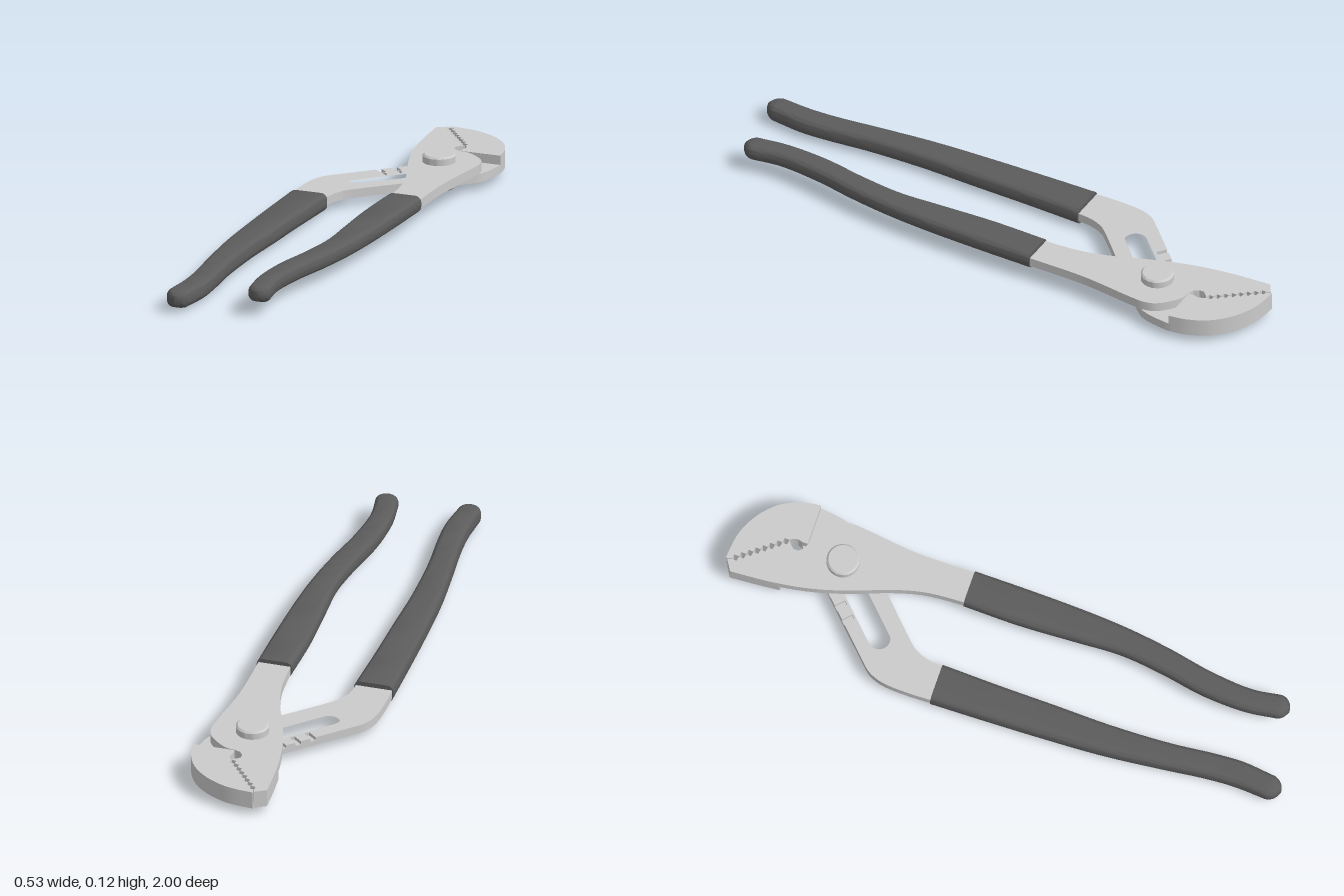
import * as THREE from 'three';
import { toCreasedNormals } from 'three/addons/utils/BufferGeometryUtils.js';

const metal = new THREE.MeshStandardMaterial({ color: 0xcccccc });
const rubber = new THREE.MeshStandardMaterial({ color: 0x5c5c5c });

// All outlines are [x, z] points seen from above.
const toVec = ([x, z]) => new THREE.Vector2(x, -z);
const smooth = (pts, n = 20) =>
  new THREE.SplineCurve(pts.map(p => new THREE.Vector2(...p))).getPoints(n).map(v => [v.x, v.y]);

function mesh(name, geometry, material) {
  const m = new THREE.Mesh(geometry, material);
  m.name = name;
  return m;
}

// Flat plate between two heights
function plate(name, outline, y0, y1, hole) {
  const shape = new THREE.Shape(outline.map(toVec));
  if (hole) shape.holes.push(new THREE.Path(hole.map(toVec)));
  const geo = new THREE.ExtrudeGeometry(shape, { depth: y1 - y0, bevelEnabled: false });
  geo.rotateX(-Math.PI / 2).translate(0, y0, 0);
  return mesh(name, toCreasedNormals(geo, 0.5), metal);
}

// Zigzag biting edge from the throat to the tip; side is +1 (right jaw) or -1 (left jaw)
function teeth(side) {
  const a = [0.113, -0.818], b = [-0.010, -0.978], count = 8, pts = [];
  for (let i = 0; i <= count * 2; i++) {
    const t = i / (count * 2), off = side * (i % 2 ? 0.012 : 0.001);
    pts.push([a[0] + (b[0] - a[0]) * t + off * 0.79, a[1] + (b[1] - a[1]) * t - off * 0.61]);
  }
  return pts;
}

// Handle sleeve lofted through [z, xMin, xMax] stations, with a rounded end
function grip(name, stations, zEnd, yMid, halfH) {
  const mid = new THREE.CatmullRomCurve3(stations.map(([z, a, b]) =>
    new THREE.Vector3((a + b) / 2, (b - a) / 2, z)));
  const rings = mid.getPoints(36).map(p => ({ x: p.x, w: p.y, z: p.z, h: halfH }));
  const last = rings[rings.length - 1], reach = zEnd - last.z;
  for (let i = 1; i <= 8; i++) {
    const t = i / 8 * 1.5, c = Math.cos(t);
    rings.push({ x: last.x, w: last.w * c, z: last.z + reach * Math.sin(t), h: halfH - 0.02 * (1 - c) });
  }
  const pos = [], idx = [], per = 24;
  for (const r of rings) {
    const rad = Math.min(0.022, r.w);
    for (let k = 0; k < per; k++) {
      const q = Math.floor(k / 6), ang = (q + (k % 6) / 5) * Math.PI / 2;
      const sx = q === 0 || q === 3 ? 1 : -1, sy = q < 2 ? 1 : -1;
      pos.push(r.x + sx * (r.w - rad) + rad * Math.cos(ang),
        yMid + sy * (r.h - 0.022) + 0.022 * Math.sin(ang), r.z);
    }
  }
  const n = rings.length, c0 = n * per, c1 = c0 + 1, e = rings[n - 1];
  pos.push(rings[0].x, yMid, rings[0].z, e.x, yMid, zEnd);
  for (let k = 0; k < per; k++) {
    const k2 = (k + 1) % per;
    for (let i = 0; i < n - 1; i++) {
      const a = i * per + k, b = i * per + k2;
      idx.push(a, b, b + per, a, b + per, a + per);
    }
    idx.push(c0, k2, k, c1, (n - 1) * per + k, (n - 1) * per + k2);
  }
  const geo = new THREE.BufferGeometry();
  geo.setAttribute('position', new THREE.Float32BufferAttribute(pos, 3));
  geo.setIndex(idx);
  return mesh(name, toCreasedNormals(geo, 0.8), rubber);
}

export function createModel() {
  const model = new THREE.Group();
  model.name = 'slipJointPliers';
  const yLow = 0.028, yMid = 0.058, yTop = 0.09;

  // Shared directions of the slotted neck
  const d = [0.72, -0.69], nrm = [0.69, 0.72];
  const pivot = [0.097, -0.625];

  // Adjustment slot
  const slot = [];
  const ends = [[-0.11, -0.43], [0.118, -0.648]];
  ends.forEach((c, e) => {
    for (let i = 0; i <= 12; i++) {
      const t = Math.PI * (i / 12 + e);
      slot.push([0, 1].map(j => c[j] + 0.038 * (nrm[j] * Math.cos(t) - d[j] * Math.sin(t))));
    }
  });

  // Outer edge of the neck, optionally cut by locking grooves
  const neckEdge = grooved => {
    const start = [-0.19, -0.468], pts = [start];
    const at = (s, dep) => [0, 1].map(j => start[j] + d[j] * s + nrm[j] * dep);
    if (grooved) for (const s of [0.135, 0.19, 0.245, 0.30])
      pts.push(at(s - 0.010, 0), at(s - 0.006, 0.038), at(s + 0.012, 0.038), at(s + 0.010, 0));
    pts.push(at(0.36, 0));
    return pts;
  };

  const rightJawArc = smooth([[-0.012, -0.998], [0.08, -0.986], [0.16, -0.948], [0.22, -0.89],
    [0.252, -0.82], [0.262, -0.757]]);
  const throat = [[0.108, -0.768], [0.12, -0.775], [0.125, -0.79], [0.122, -0.806]];

  const lowerOutline = grooved => [
    ...rightJawArc,
    ...smooth([[0.262, -0.75], [0.252, -0.685], [0.235, -0.64], [0.2, -0.6]], 10),
    ...smooth([[0.05, -0.455], [-0.08, -0.333], [-0.115, -0.29], [-0.133, -0.235], [-0.137, -0.16]], 14),
    ...smooth([[-0.26, -0.16], [-0.262, -0.26], [-0.256, -0.36], [-0.235, -0.42], [-0.2, -0.458]], 14),
    ...neckEdge(grooved),
    ...throat, ...teeth(1)
  ];

  // Lower arm: slotted neck in two layers, plus the raised half of its jaw
  const lower = new THREE.Group();
  lower.name = 'lowerArm';
  lower.add(
    plate('slottedArm', lowerOutline(false), yLow, 0.046, slot),
    plate('groovedArmFace', lowerOutline(true), 0.046, yMid, slot),
    plate('rightJaw', [...rightJawArc, [0.12, -0.757], ...throat.slice(1), ...teeth(1)], yMid, yTop),
    grip('leftGrip', [[-0.2, -0.265, -0.13], [0, -0.265, -0.14], [0.2, -0.263, -0.147],
      [0.4, -0.257, -0.155], [0.6, -0.24, -0.152], [0.75, -0.225, -0.14],
      [0.85, -0.222, -0.137], [0.955, -0.23, -0.15]], 1.0, 0.043, 0.031)
  );

  // Upper arm: plate with the left jaw, thickened downward at the biting end
  const leftJawTeeth = teeth(-1);
  const tip = [[-0.014, -0.992], [-0.053, -0.97]];
  const upper = new THREE.Group();
  upper.name = 'upperArm';
  upper.add(
    plate('upperPlate', [
      ...leftJawTeeth, ...tip,
      ...smooth([[-0.053, -0.96], [-0.045, -0.82], [-0.025, -0.69], [0.01, -0.565], [0.055, -0.44],
        [0.083, -0.32], [0.09, -0.16]], 30),
      ...smooth([[0.2, -0.16], [0.2, -0.28], [0.206, -0.42], [0.228, -0.58], [0.233, -0.65],
        [0.215, -0.697], [0.16, -0.745], [0.12, -0.755]], 30),
      [0.1, -0.762], [0.088, -0.778], [0.088, -0.795], [0.1, -0.808]
    ], yMid, yTop),
    plate('leftJaw', [...leftJawTeeth, ...tip, [-0.049, -0.88], [-0.043, -0.8],
      [0.06, -0.765], [0.088, -0.778], [0.088, -0.795], [0.1, -0.808]], yLow, yMid),
    grip('rightGrip', [[-0.2, 0.084, 0.206], [0, 0.077, 0.2], [0.2, 0.082, 0.19],
      [0.35, 0.085, 0.176], [0.5, 0.065, 0.152], [0.65, 0.036, 0.12],
      [0.8, 0.027, 0.104], [0.9, 0.038, 0.116]], 0.94, 0.0755, 0.0285)
  );

  // Pivot bolt with chamfered heads
  const profile = [[0, 0], [0.049, 0], [0.055, 0.006], [0.055, yLow], [0.036, yLow], [0.036, yTop],
    [0.055, yTop], [0.055, 0.112], [0.049, 0.118], [0, 0.118]].map(p => new THREE.Vector2(...p));
  const bolt = mesh('pivotBolt', toCreasedNormals(new THREE.LatheGeometry(profile, 40), 0.5), metal);
  bolt.position.set(pivot[0], 0, pivot[1]);

  model.add(lower, upper, bolt);
  return model;
}
